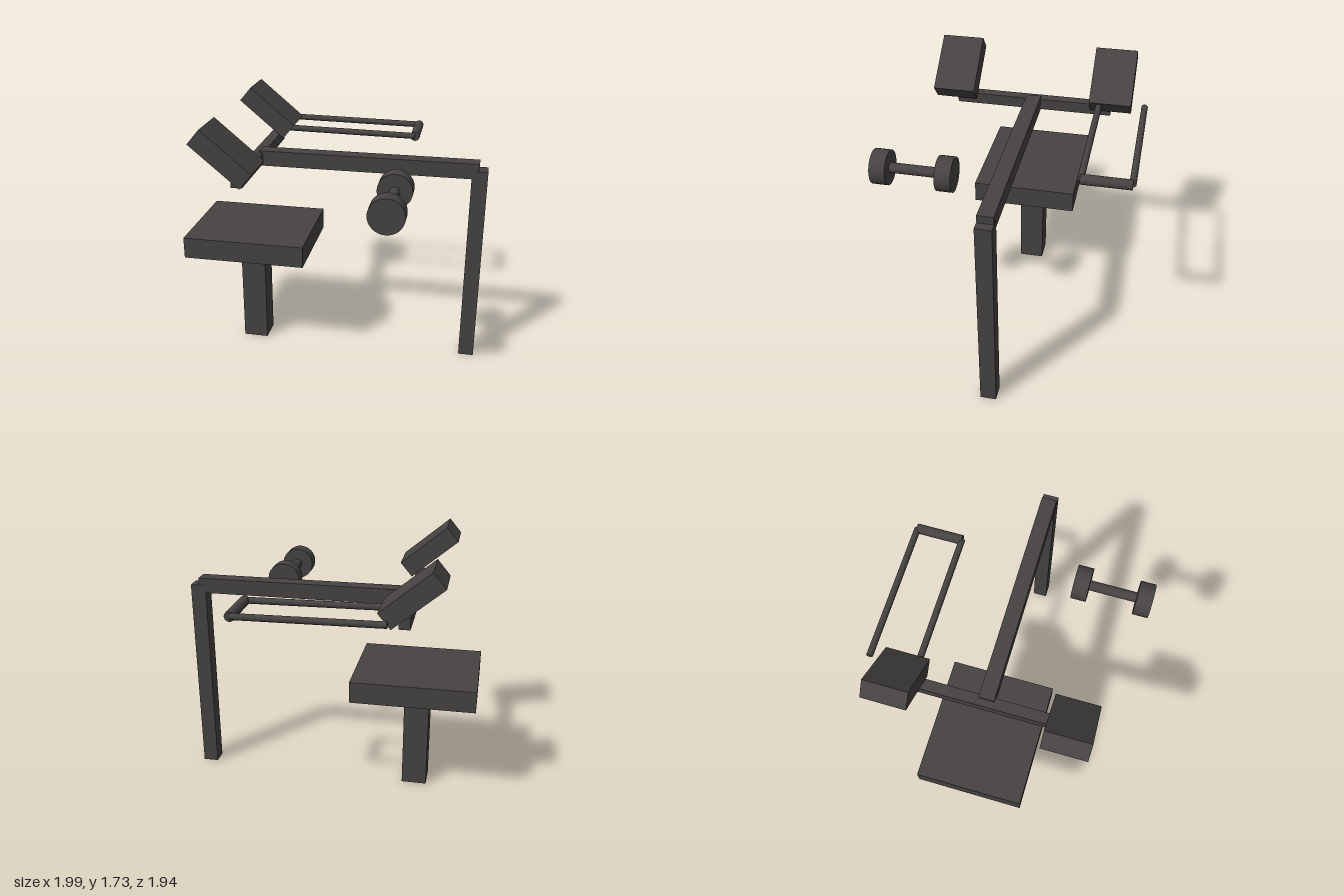
import * as THREE from 'three';

export function createModel() {
  const model = new THREE.Group();
  model.name = 'exerciseBench';
  // Everything is laid out square to the bench, then turned as a whole.
  model.rotation.y = THREE.MathUtils.degToRad(40);

  const darkGrey = new THREE.MeshStandardMaterial({ color: 0x464342 });
  darkGrey.name = 'darkGrey';

  const add = (name, geometry, x, y, z, parent = model) => {
    const mesh = new THREE.Mesh(geometry, darkGrey);
    mesh.name = name;
    mesh.position.set(x, y, z);
    parent.add(mesh);
    return mesh;
  };
  const box = (name, w, h, d, x, y, z) => add(name, new THREE.BoxGeometry(w, h, d), x, y, z);
  // Round rod between two points.
  const rod = (name, radius, a, b, parent = model) => {
    const from = new THREE.Vector3(...a), to = new THREE.Vector3(...b);
    const dir = to.clone().sub(from);
    const mid = from.clone().add(to).multiplyScalar(0.5);
    const mesh = add(name, new THREE.CylinderGeometry(radius, radius, dir.length(), 32), mid.x, mid.y, mid.z, parent);
    mesh.quaternion.setFromUnitVectors(new THREE.Vector3(0, 1, 0), dir.normalize());
    return mesh;
  };

  const midZ = -0.022;

  // Seat on its pedestal
  box('seat', 0.823, 0.145, 0.703, -0.502, 0.7925, midZ);
  box('seatPost', 0.17, 0.725, 0.17, -0.51, 0.3625, midZ);

  // Tall post, long beam and crossbar
  box('tallPost', 0.103, 1.365, 0.103, 1.015, 0.6825, midZ);
  box('beam', 1.46, 0.103, 0.1, 0.28, 1.363, midZ);
  box('crossbar', 0.072, 0.075, 1.08, -0.461, 1.3625, midZ);

  // Tilted pads at the crossbar ends
  for (const side of [-1, 1]) {
    const pad = box(side > 0 ? 'frontPad' : 'backPad', 0.408, 0.125, 0.284, -0.513, 1.552, midZ + side * 0.541);
    pad.rotation.z = THREE.MathUtils.degToRad(-40);
  }

  // U-shaped handle behind the back pad
  const handle = new THREE.Group();
  handle.name = 'handle';
  model.add(handle);
  for (const z of [-0.793, -0.488]) {
    rod('handleRail', 0.021, [-0.389, 1.435, z], [0.545, 1.424, z], handle);
  }
  rod('handleGrip', 0.032, [0.547, 1.422, -0.795], [0.547, 1.422, -0.485], handle);

  // Dumbbell
  const dumbbell = new THREE.Group();
  dumbbell.name = 'dumbbell';
  model.add(dumbbell);
  const weights = [0.342, 0.756];
  rod('dumbbellBar', 0.033, [0.51, 1.327, weights[0]], [0.51, 1.327, weights[1]], dumbbell);
  for (const z of weights) {
    rod('dumbbellWeight', 0.112, [0.51, 1.327, z - 0.051], [0.51, 1.327, z + 0.051], dumbbell);
  }

  const root = new THREE.Group();
  root.name = 'gymBench';
  root.add(model);
  return root;
}
